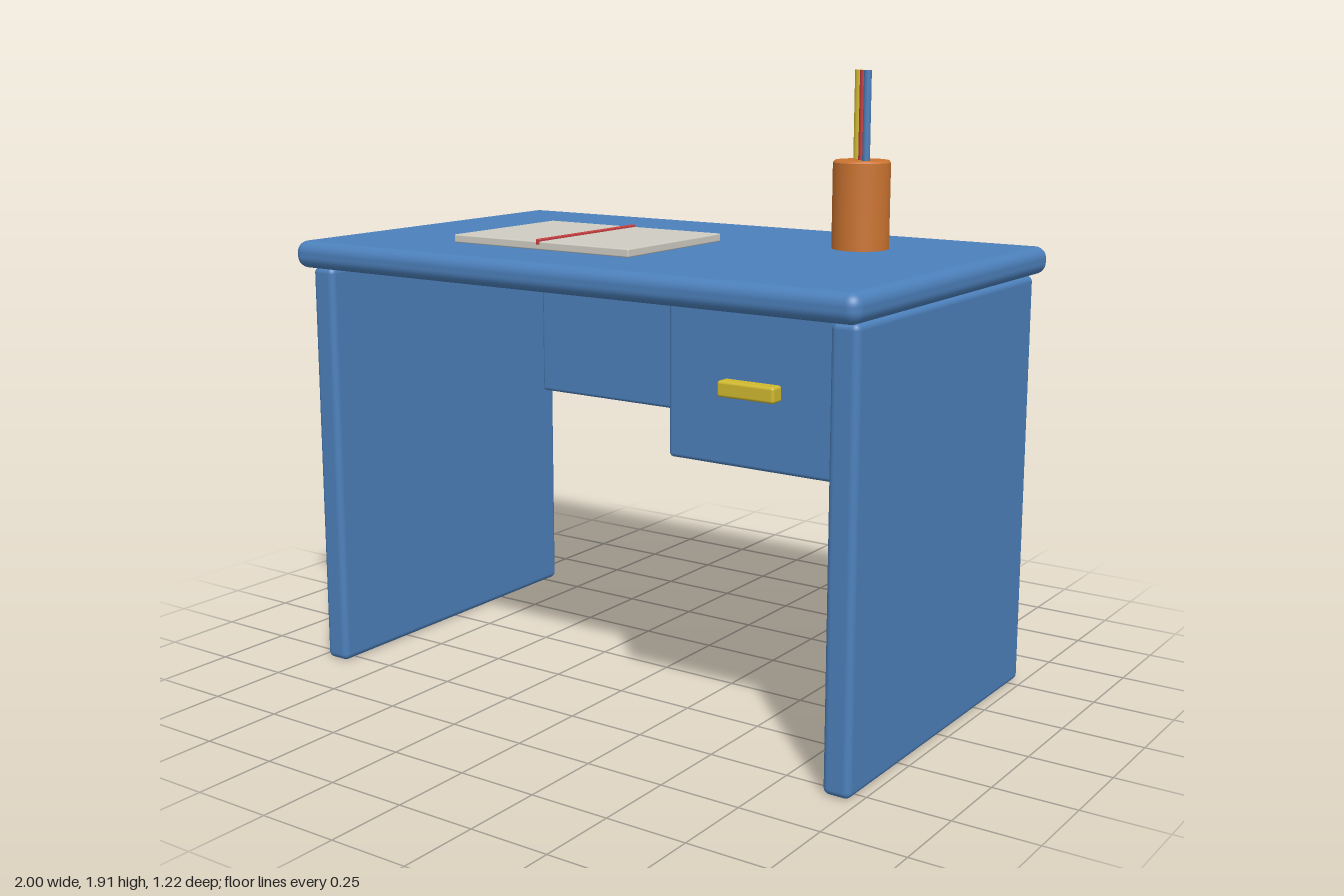
import * as THREE from 'three';
import { RoundedBoxGeometry } from 'three/addons/geometries/RoundedBoxGeometry.js';

const mat = (name, color) => {
  const m = new THREE.MeshStandardMaterial({ color });
  m.name = name;
  return m;
};

export function createModel() {
  const blue = mat('blue paint', 0x4c80bb);
  const orange = mat('orange', 0xcb7431);
  const yellow = mat('yellow', 0xd0b930);
  const red = mat('red', 0xc83f42);
  const paper = mat('paper', 0xcfcdc2);

  const desk = new THREE.Group();
  desk.name = 'desk';

  const add = (name, geometry, material, x = 0, y = 0, z = 0) => {
    const mesh = new THREE.Mesh(geometry, material);
    mesh.name = name;
    mesh.position.set(x, y, z);
    desk.add(mesh);
    return mesh;
  };

  // Rounded box given by its extents on each axis
  const slab = (name, material, [x0, x1], [y0, y1], [z0, z1], radius) =>
    add(name, new RoundedBoxGeometry(x1 - x0, y1 - y0, z1 - z0, 4, radius), material,
      (x0 + x1) / 2, (y0 + y1) / 2, (z0 + z1) / 2);

  // Table top, side panels and back panel
  slab('tableTop', blue, [-1, 1], [1.295, 1.38], [-0.61, 0.61], 0.036);
  slab('rightSidePanel', blue, [-0.975, -0.89], [0, 1.295], [-0.555, 0.555], 0.02);
  slab('leftSidePanel', blue, [0.89, 0.975], [0, 1.295], [-0.555, 0.555], 0.02);
  slab('backPanel', blue, [-0.892, 0.892], [0.73, 1.285], [-0.545, -0.49], 0.012);

  // Drawer with its handle
  slab('drawer', blue, [0.345, 0.892], [0.85, 1.295], [-0.5, 0.49], 0.012);
  slab('drawerHandle', yellow, [0.53, 0.71], [1.05, 1.095], [0.475, 0.53], 0.008);

  // Flattened blob stuck under the top
  add('underTableBlob', new THREE.SphereGeometry(1, 32, 20), red, -0.45, 1.27, 0.24)
    .scale.set(0.055, 0.026, 0.055);

  // Open book with a ribbon down the middle
  slab('bookPages', paper, [-0.555, 0.11], [1.38, 1.405], [-0.135, 0.355], 0.004);
  slab('bookRibbon', red, [-0.232, -0.217], [1.395, 1.412], [-0.135, 0.356], 0.003);

  // Pencil cup: solid, with a softened rim
  const r = 0.0865, h = 0.265, b = 0.006;
  const profile = [[0, 0], [r, 0], [r, 0], [r, h - b], [r, h - b], [r - b, h], [r - b, h], [0, h]]
    .map(([x, y]) => new THREE.Vector2(x, y));
  // Separate straight segments keep the edges crisp
  for (let i = 0; i < profile.length; i += 2) {
    add('pencilCup', new THREE.LatheGeometry([profile[i], profile[i + 1]], 48), orange, 0.553, 1.38, -0.225);
  }

  // Pencils
  for (const [name, material, x, z] of [
    ['yellowPencil', yellow, 0.519, -0.257],
    ['redPencil', red, 0.553, -0.225],
    ['bluePencil', blue, 0.581, -0.198],
  ]) {
    add(name, new THREE.CylinderGeometry(0.0115, 0.0115, 0.41, 16), material, x, 1.705, z);
  }

  return desk;
}
